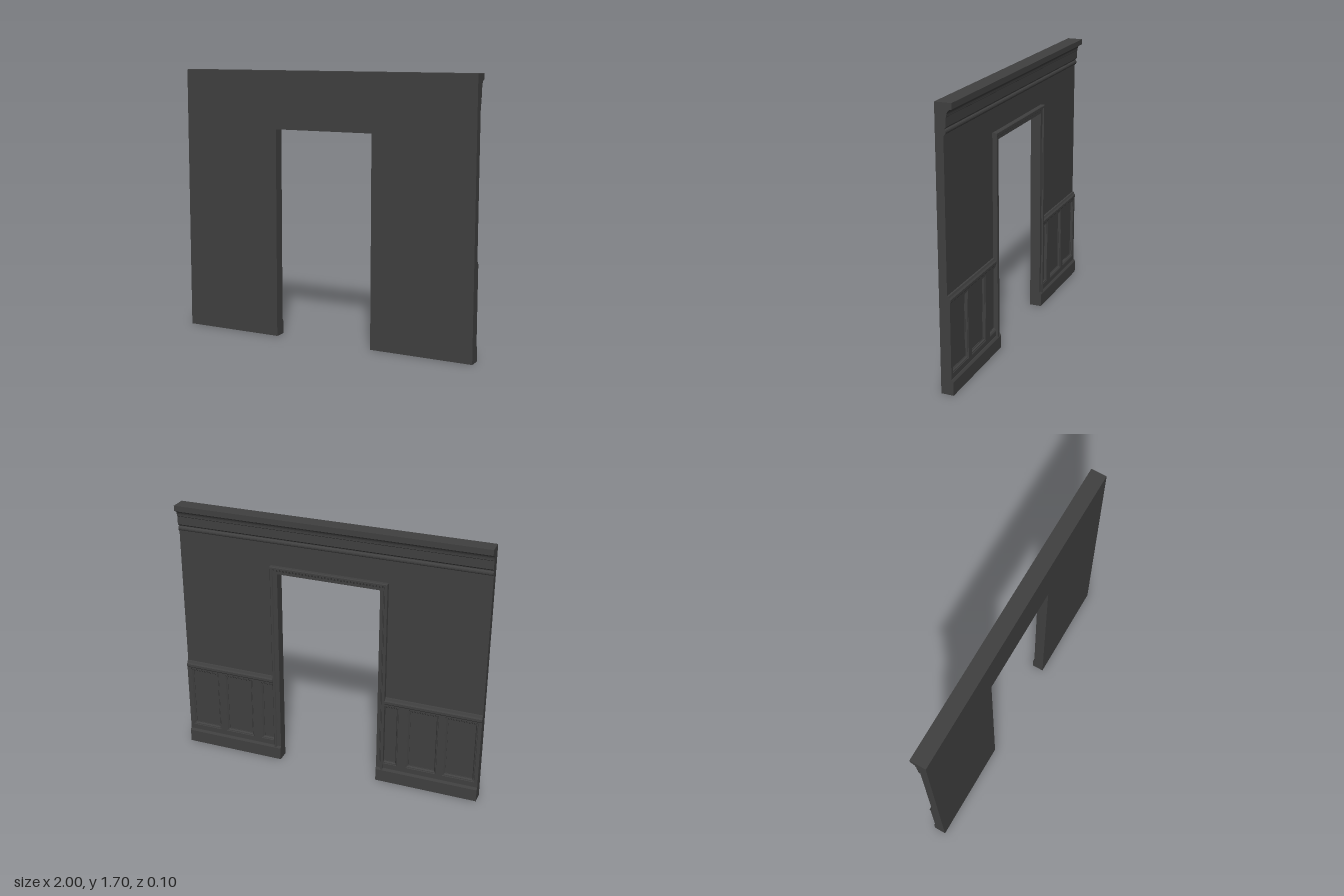
import * as THREE from 'three';

const HALF = 1, TOP = 1.7, DOOR_X = 0.333, DOOR_Y = 1.335;

const material = new THREE.MeshStandardMaterial({ color: 0x404040 });

function add(parent, name, geometry) {
  const mesh = new THREE.Mesh(geometry, material);
  mesh.name = name;
  parent.add(mesh);
  return mesh;
}

const toShape = (pts) => new THREE.Shape(pts.map(([x, y]) => new THREE.Vector2(x, y)));

// Straight moulding: profile of [depth out of the wall, height], run from x0 to x1
function moulding(parent, name, profile, x0, x1) {
  const geo = new THREE.ExtrudeGeometry(toShape(profile), { depth: x1 - x0, bevelEnabled: false });
  geo.rotateY(Math.PI / 2);
  geo.translate(x0, 0, 0);
  return add(parent, name, geo);
}

// Mitred moulding: profile of [offset to the left of the path, depth], run round corners
function mitred(path, profile, closed) {
  const pts = path.map(([x, y]) => new THREE.Vector2(x, y));
  const n = pts.length;
  const leftOf = (i) => {
    const d = pts[(i + 1) % n].clone().sub(pts[i]).normalize();
    return new THREE.Vector2(-d.y, d.x);
  };
  const rings = pts.map((p, i) => {
    const before = leftOf(closed || i > 0 ? (i + n - 1) % n : 0);
    const after = leftOf(closed || i < n - 1 ? i : n - 2);
    const mitre = before.clone().add(after).divideScalar(1 + before.dot(after));
    return profile.map(([u, d]) => [p.x + mitre.x * u, p.y + mitre.y * u, -d]);
  });
  const pos = [];
  for (let i = 0; i < (closed ? n : n - 1); i++) {
    const r = rings[i], s = rings[(i + 1) % n];
    for (let k = 0; k < profile.length - 1; k++) {
      pos.push(...r[k], ...r[k + 1], ...s[k + 1], ...r[k], ...s[k + 1], ...s[k]);
    }
  }
  const geo = new THREE.BufferGeometry();
  geo.setAttribute('position', new THREE.Float32BufferAttribute(pos, 3));
  geo.computeVertexNormals();
  return geo;
}

const rectangle = (x0, y0, x1, y1) => [[x0, y0], [x1, y0], [x1, y1], [x0, y1]];

export function createModel() {
  const model = new THREE.Group();
  model.name = 'panelledDoorwayWall';

  // Plain wall with the doorway cut out
  const wallShape = toShape([
    [-HALF, 0], [-DOOR_X, 0], [-DOOR_X, DOOR_Y], [DOOR_X, DOOR_Y],
    [DOOR_X, 0], [HALF, 0], [HALF, TOP], [-HALF, TOP],
  ]);
  add(model, 'wall', new THREE.ExtrudeGeometry(wallShape, { depth: 0.05, bevelEnabled: false }));

  // Crown moulding with a hollow curve, and the bead below it
  const cove = [];
  for (let i = 0; i <= 6; i++) {
    const a = (i / 6) * Math.PI / 2;
    cove.push([0.05 - 0.031 * Math.sin(a), 1.629 + 0.036 * Math.cos(a)]);
  }
  moulding(model, 'crownMoulding', [
    [0, 1.56], [0.008, 1.56], [0.015, 1.568], [0.015, 1.62], [0.019, 1.624],
    ...cove.reverse(), [0.05, TOP], [0, TOP],
  ], -HALF, HALF);
  const bead = [[0, 1.52], [0.004, 1.52]];
  for (let i = 0; i <= 6; i++) {
    const a = -Math.PI / 2 + (i / 6) * Math.PI;
    bead.push([0.004 + 0.009 * Math.cos(a), 1.54 + 0.014 * Math.sin(a)]);
  }
  moulding(model, 'crownBead', [...bead, [0.004, 1.56], [0, 1.56]], -HALF, HALF);

  // Door casing, mitred round the opening
  add(model, 'doorCasing', mitred(
    [[-DOOR_X, 0.085], [-DOOR_X, DOOR_Y], [DOOR_X, DOOR_Y], [DOOR_X, 0.085]],
    [[0, 0], [0, 0.018], [0.019, 0.018], [0.022, 0.021], [0.027, 0.021],
      [0.031, 0.027], [0.043, 0.027], [0.047, 0.023], [0.047, 0]],
    false,
  ));

  for (const side of [1, -1]) {
    const wainscot = new THREE.Group();
    wainscot.name = side > 0 ? 'leftWainscot' : 'rightWainscot';
    model.add(wainscot);
    const span = (a, b) => (side > 0 ? [a, b] : [-b, -a]);

    // Baseboard with a sloped top, and the chair rail
    moulding(wainscot, 'baseboard',
      [[0, 0], [0.028, 0], [0.028, 0.082], [0.02, 0.096], [0, 0.096]], ...span(DOOR_X, HALF));
    moulding(wainscot, 'chairRail',
      [[0, 0.565], [0.016, 0.565], [0.02, 0.571], [0.02, 0.587], [0.013, 0.596], [0.008, 0.608], [0, 0.61]],
      ...span(0.36, HALF));

    // Rails and stiles around three sunk panels; the inner panel runs under the casing
    const [f0, f1] = span(0.345, HALF);
    const frame = toShape(rectangle(f0, 0.09, f1, 0.57));
    for (const [a, b] of [[0.36, 0.472], [0.528, 0.73], [0.77, 0.978]]) {
      const [x0, x1] = span(a, b);
      const outline = rectangle(x0, 0.13, x1, 0.555);
      frame.holes.push(toShape(outline));
      add(wainscot, 'panelMoulding', mitred(outline,
        [[0, 0.016], [0.003, 0.013], [0.008, 0.013], [0.015, 0.004], [0.018, 0.004], [0.018, 0]], true));
    }
    const stiles = new THREE.ExtrudeGeometry(frame, { depth: 0.016, bevelEnabled: false });
    add(wainscot, 'panelFrame', stiles).position.z = -0.016;
  }
  return model;
}
